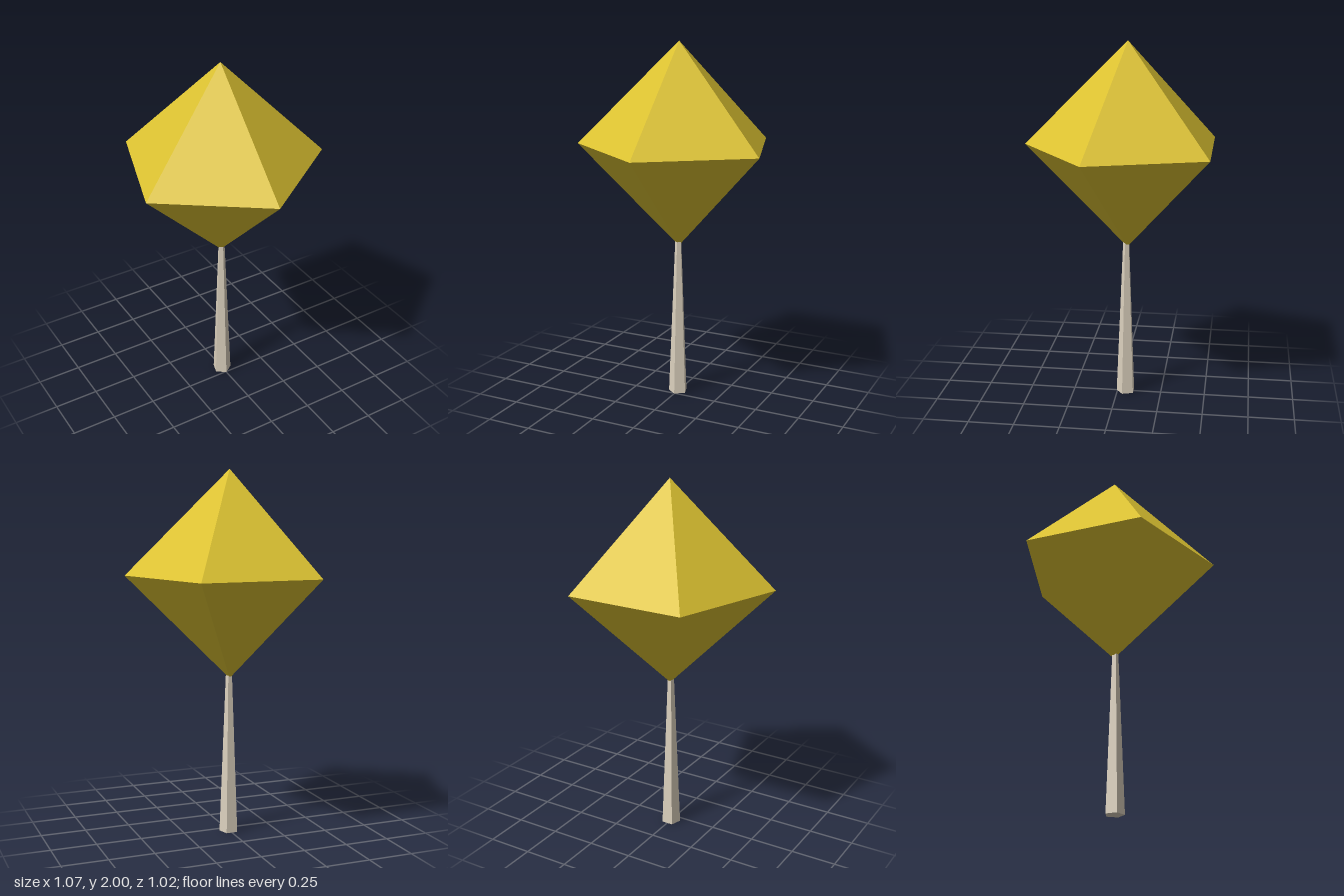
import * as THREE from 'three';

export function createModel() {
  const model = new THREE.Group();
  model.name = 'tree';

  const leafYellow = new THREE.MeshStandardMaterial({ color: 0xdcc231, flatShading: true });
  leafYellow.name = 'leafYellow';
  const paleBark = new THREE.MeshStandardMaterial({ color: 0xdbd0bd, flatShading: true });
  paleBark.name = 'paleBark';

  const sides = 5;

  // Crown: five-sided double pyramid with one corner facing the front
  const r = 0.565;
  const profile = [[0, -r], [r, 0], [0, r]].map(([x, y]) => new THREE.Vector2(x, y));
  const crown = new THREE.Mesh(new THREE.LatheGeometry(profile, sides), leafYellow);
  crown.name = 'crown';
  crown.position.set(0, 2 - r, -0.055);
  model.add(crown);

  // Trunk: tapered five-sided post whose top sits in the tip of the crown
  const height = 0.9;
  const trunk = new THREE.Mesh(new THREE.CylinderGeometry(0.018, 0.054, height, sides), paleBark);
  trunk.name = 'trunk';
  trunk.position.set(0, height / 2, -0.049);
  model.add(trunk);

  return model;
}
